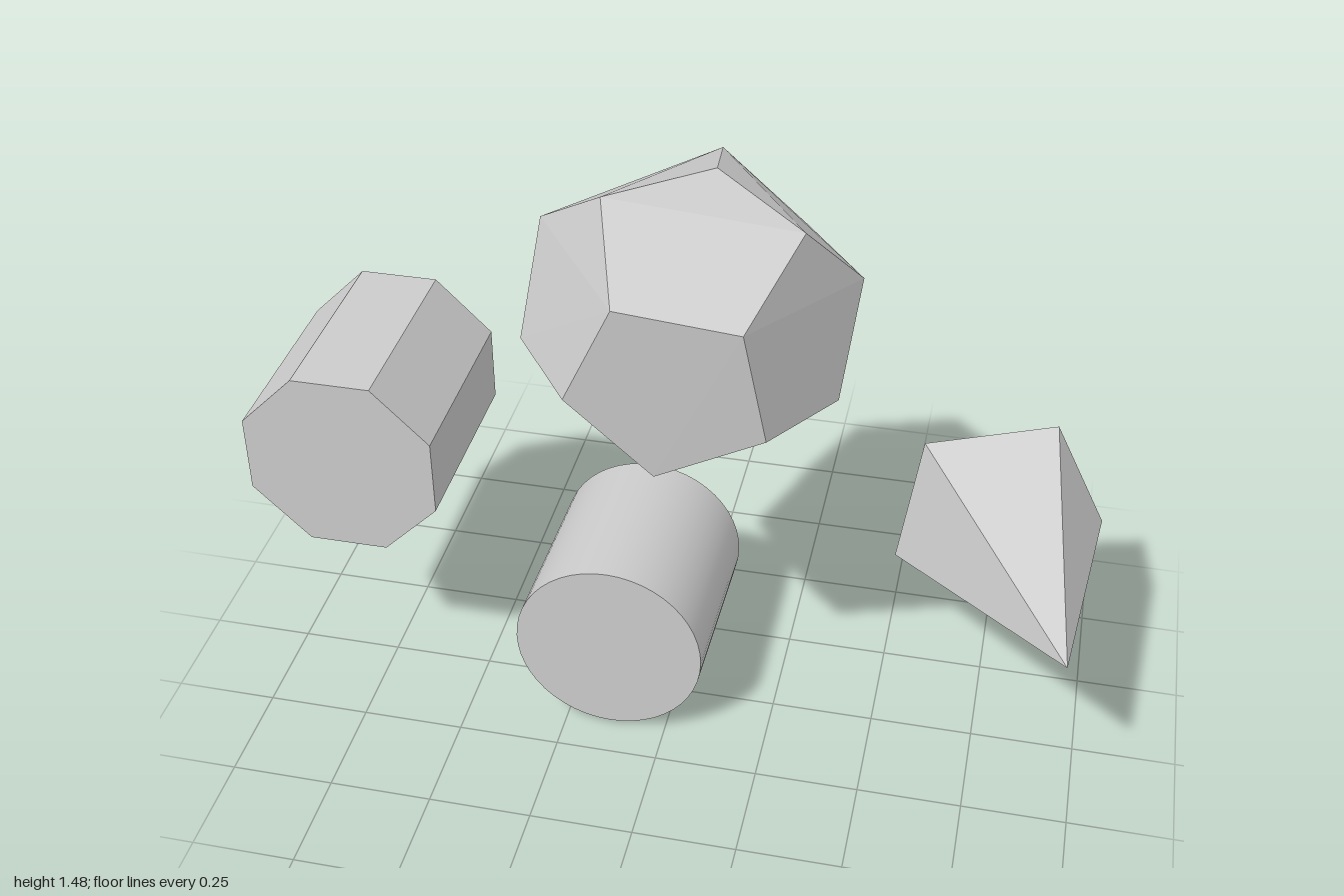
import * as THREE from 'three';
import { ConvexGeometry } from 'three/addons/geometries/ConvexGeometry.js';

const flat = new THREE.MeshStandardMaterial({ color: 0xcccccc, flatShading: true });
const smooth = new THREE.MeshStandardMaterial({ color: 0xcccccc });

// Convex solid spanned by a handful of corner points
function solid(name, corners) {
  const points = corners.map((c) => new THREE.Vector3(...c));
  const mesh = new THREE.Mesh(new ConvexGeometry(points), flat);
  mesh.name = name;
  return mesh;
}

// Prism or cylinder whose axis runs between two cap centres
function bar(name, radius, sides, twist, back, front, material) {
  const a = new THREE.Vector3(...back);
  const b = new THREE.Vector3(...front);
  const axis = b.clone().sub(a);
  const geometry = new THREE.CylinderGeometry(radius, radius, axis.length(), sides);
  geometry.rotateY(twist).rotateX(Math.PI / 2);
  const mesh = new THREE.Mesh(geometry, material);
  mesh.name = name;
  mesh.quaternion.setFromUnitVectors(new THREE.Vector3(0, 0, 1), axis.normalize());
  mesh.position.copy(a).add(b).multiplyScalar(0.5);
  return mesh;
}

export function createModel() {
  const group = new THREE.Group();
  group.name = 'geometricSolids';

  // Eight-sided prism lying along z
  group.add(bar('octagonalPrism', 0.248, 8, Math.PI / 8,
    [-0.772, 0.72, -0.32], [-0.772, 0.72, 0.172], flat));

  // Round cylinder, tilted very slightly
  group.add(bar('cylinder', 0.232, 48, 0,
    [-0.134, 0.235, -0.315], [-0.14, 0.246, 0.149], smooth));

  // Twelve-sided solid, slightly uneven
  group.add(solid('dodecahedron', [
    // front pentagon
    [-0.07, 1.335, 0.32], [0.205, 1.305, 0.31], [0.255, 1.03, 0.285], [0.01, 0.9, 0.285], [-0.185, 1.085, 0.3],
    // zigzag ring around the middle
    [-0.145, 1.465, 0.09], [0.075, 1.48, -0.06], [0.29, 1.42, 0.07], [0.4, 1.23, -0.09], [0.375, 0.99, 0.04],
    [0.205, 0.83, -0.11], [-0.015, 0.78, 0.04], [-0.235, 0.885, -0.08], [-0.34, 1.08, 0.08], [-0.32, 1.32, -0.05],
    // back pentagon
    [0.13, 0.97, -0.32], [-0.145, 0.99, -0.32], [-0.2, 1.266, -0.305], [0.04, 1.4, -0.305], [0.24, 1.215, -0.32],
  ]));

  // Leaning five-sided pyramid: base corners, then the tip
  group.add(solid('pentagonalPyramid', [
    [0.555, 0.685, -0.26], [0.865, 0.74, -0.32], [1, 0.475, -0.32], [0.785, 0.235, -0.295], [0.51, 0.37, -0.21],
    [0.945, 0.507, 0.27],
  ]));

  return group;
}
